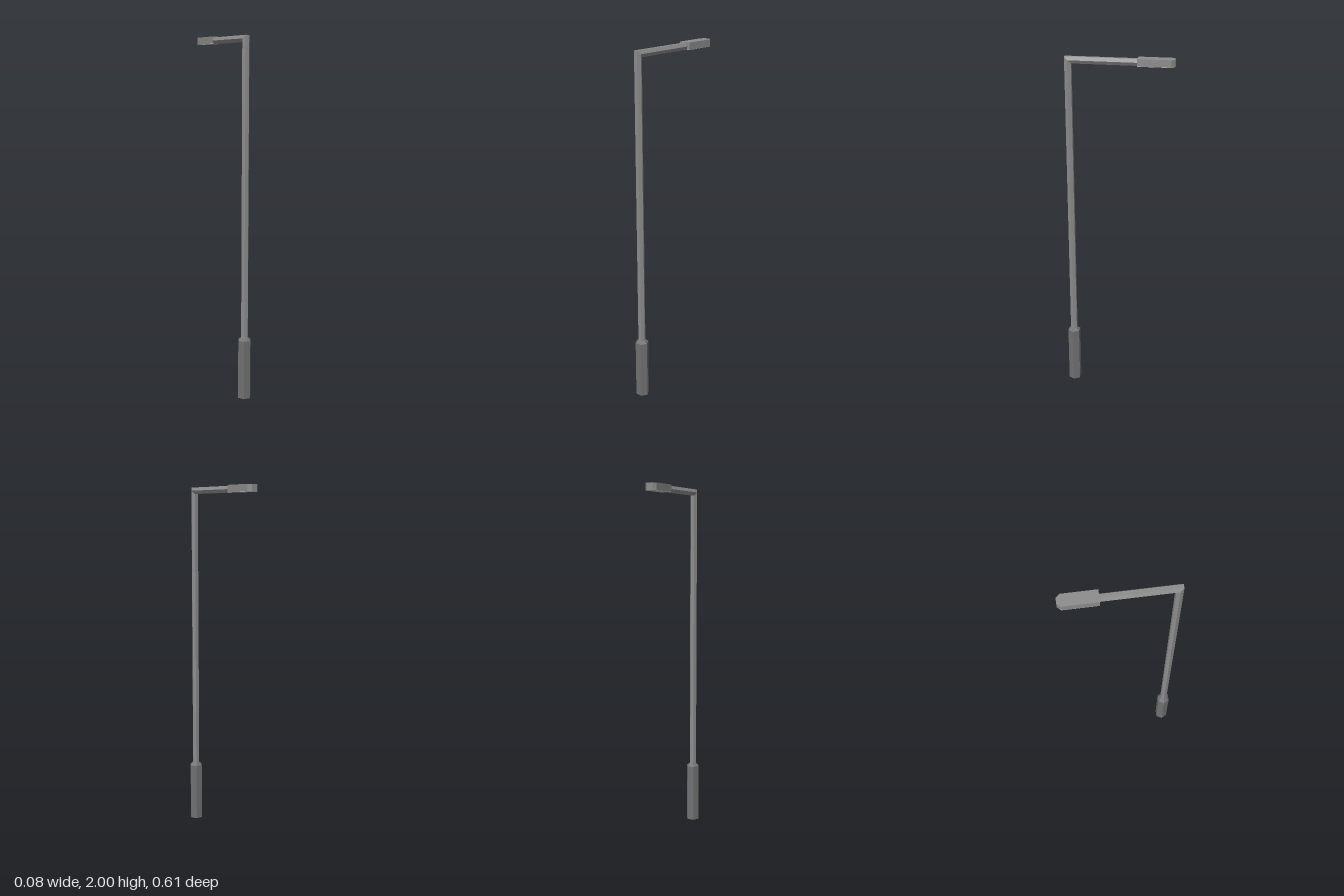
import * as THREE from 'three';

const SIDES = 6, POLE_Z = 0.27, ARM_Y = 1.978, ARM_END = -0.11;
const BASE_R = 0.0385, POLE_R = 0.021;

// Hexagonal ring: place(u) turns the second cross-section coordinate into [y, z]
function ring(radius, place) {
  return Array.from({ length: SIDES }, (_, i) => {
    const a = (i / SIDES) * Math.PI * 2;
    return [radius * Math.cos(a), ...place(radius * Math.sin(a))];
  });
}

// Flat-sided skin joining successive rings
function loft(rings) {
  const pos = [];
  for (let r = 0; r < rings.length - 1; r++) {
    for (let i = 0; i < SIDES; i++) {
      const j = (i + 1) % SIDES;
      const a = rings[r][i], b = rings[r][j], c = rings[r + 1][j], d = rings[r + 1][i];
      pos.push(...a, ...d, ...b, ...b, ...d, ...c);
    }
  }
  const geo = new THREE.BufferGeometry();
  geo.setAttribute('position', new THREE.Float32BufferAttribute(pos, 3));
  geo.computeVertexNormals();
  return geo;
}

export function createModel() {
  const group = new THREE.Group();
  const add = (name, geometry, color) => {
    const mesh = new THREE.Mesh(geometry, new THREE.MeshStandardMaterial({
      color, flatShading: true, side: THREE.DoubleSide,
    }));
    mesh.name = name;
    group.add(mesh);
  };
  const level = (y) => (u) => [y, POLE_Z + u];

  // Thick base sleeve with a sloped shoulder, open underneath
  add('base', loft([
    ring(BASE_R, level(0)),
    ring(BASE_R, level(0.335)),
    ring(POLE_R, level(0.35)),
  ]), 0x707070);

  // Pole and arm, mitred at the corner
  add('poleAndArm', loft([
    ring(POLE_R, level(0.35)),
    ring(POLE_R, (u) => [ARM_Y + u, POLE_Z + u]),
    ring(POLE_R, (u) => [ARM_Y + u, ARM_END]),
  ]), 0x8c8c8c);

  // Lamp head: slab with two clipped corners at the far end, pale lens beneath
  const w = 0.033, tip = 0.015, near = 0.105, clip = 0.285, far = 0.304;
  const outline = new THREE.Shape([
    [-w, near], [w, near], [w, clip], [tip, far], [-tip, far], [-w, clip],
  ].map(([x, y]) => new THREE.Vector2(x, y)));
  const slab = (bottom, depth) =>
    new THREE.ExtrudeGeometry(outline, { depth, bevelEnabled: false })
      .rotateX(-Math.PI / 2).translate(0, bottom, 0);
  add('lampHead', slab(1.961, 0.039), 0x8c8c8c);
  add('lampLens', slab(1.96, 0.001), 0xcccccc);

  return group;
}
